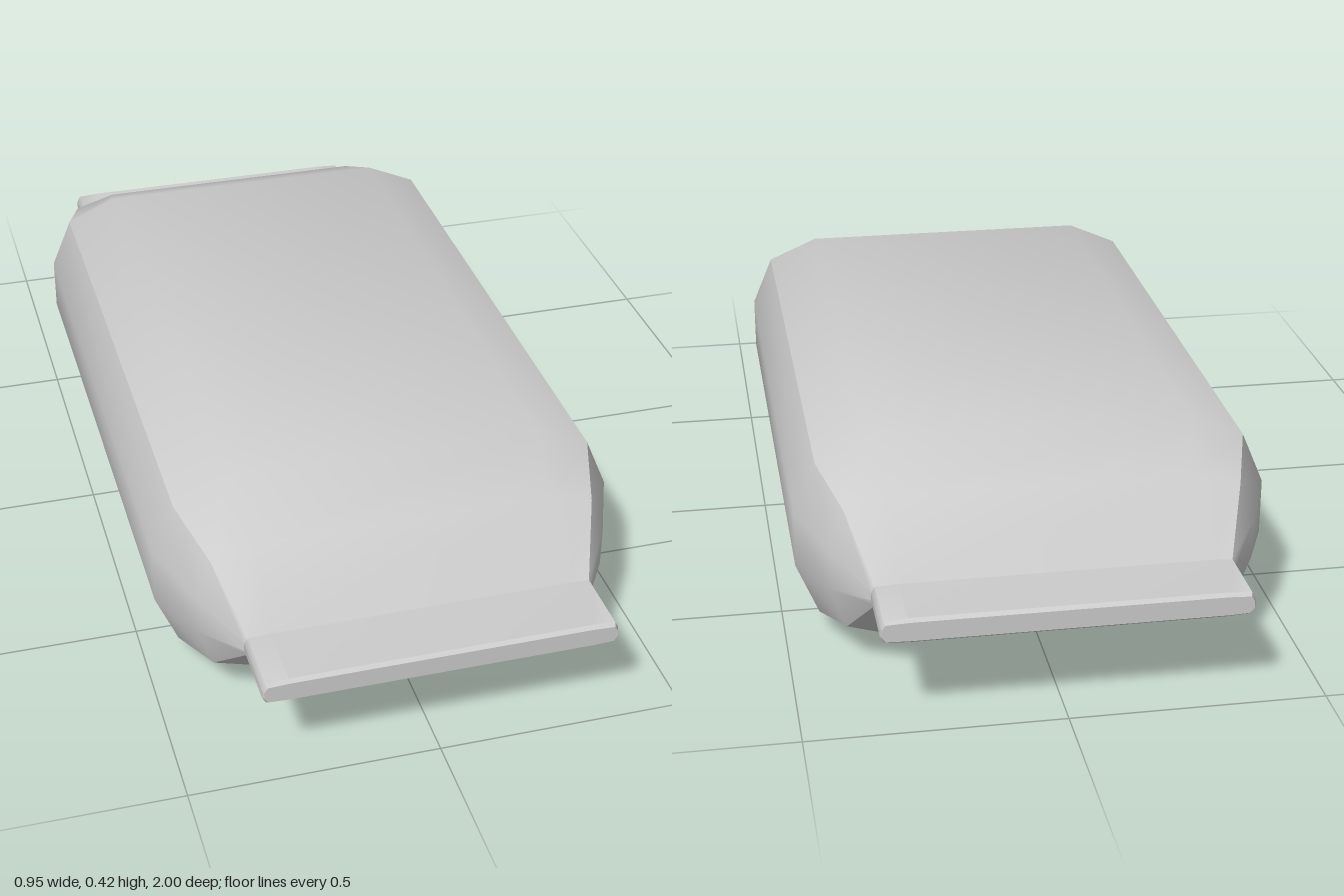
import * as THREE from 'three';
import { toCreasedNormals } from 'three/addons/utils/BufferGeometryUtils.js';

const MID_Y = 0.212;

// Mirror a quarter outline (side to top) into a full counter-clockwise ring.
function ring(z, quarter) {
  const flip = [...quarter].reverse();
  const outline = [
    ...quarter,
    ...flip.map(([x, y]) => [-x, y]),
    ...quarter.map(([x, y]) => [-x, -y]),
    ...flip.map(([x, y]) => [x, -y]),
  ];
  return outline.map(([x, y]) => new THREE.Vector3(x, y, z));
}

// Skin a row of rings, ordered by rising z, and optionally close the ends.
function loft(rings, capBack, capFront) {
  const pos = [];
  const tri = (...pts) => pts.forEach((p) => pos.push(p.x, p.y, p.z));
  const n = rings[0].length;
  for (let i = 0; i < rings.length - 1; i++) {
    for (let j = 0; j < n; j++) {
      const k = (j + 1) % n;
      const a = rings[i][j], b = rings[i][k], c = rings[i + 1][k], d = rings[i + 1][j];
      tri(a, b, c);
      tri(a, c, d);
    }
  }
  const first = rings[0], last = rings[rings.length - 1];
  for (let j = 1; j < n - 1; j++) {
    if (capBack) tri(first[0], first[j + 1], first[j]);
    if (capFront) tri(last[0], last[j], last[j + 1]);
  }
  const geo = new THREE.BufferGeometry();
  geo.setAttribute('position', new THREE.Float32BufferAttribute(pos, 3));
  return toCreasedNormals(geo, 0.6);
}

export function createModel() {
  const group = new THREE.Group();
  group.name = 'sealedPacket';
  const wrapper = new THREE.MeshStandardMaterial({ color: 0xcccccc });
  wrapper.name = 'light grey wrapper';

  const add = (name, geometry) => {
    const mesh = new THREE.Mesh(geometry, wrapper);
    mesh.name = name;
    mesh.position.y = MID_Y;
    group.add(mesh);
  };

  // Quarter outlines: full belly, shoulder, pinched neck
  const belly = [[0.475, 0.057], [0.43, 0.164], [0.32, 0.212]];
  const shoulder = [[0.418, 0.04], [0.388, 0.124], [0.3, 0.15]];
  const neck = [[0.352, 0.008], [0.345, 0.02], [0.3, 0.022]];
  const lip = [[0.352, 0.009], [0.345, 0.022], [0.3, 0.025]];
  const rim = [[0.349, 0.006], [0.342, 0.017], [0.3, 0.019]];

  // Puffed body
  add('body', loft([
    ring(-0.855, neck), ring(-0.74, shoulder), ring(-0.6, belly),
    ring(0.6, belly), ring(0.74, shoulder), ring(0.855, neck),
  ], false, false));

  // Flat crimped seals at both ends
  add('frontSeal', loft([ring(0.855, neck), ring(0.992, lip), ring(1, rim)], false, true));
  add('backSeal', loft([ring(-1, rim), ring(-0.992, lip), ring(-0.855, neck)], true, false));

  return group;
}
